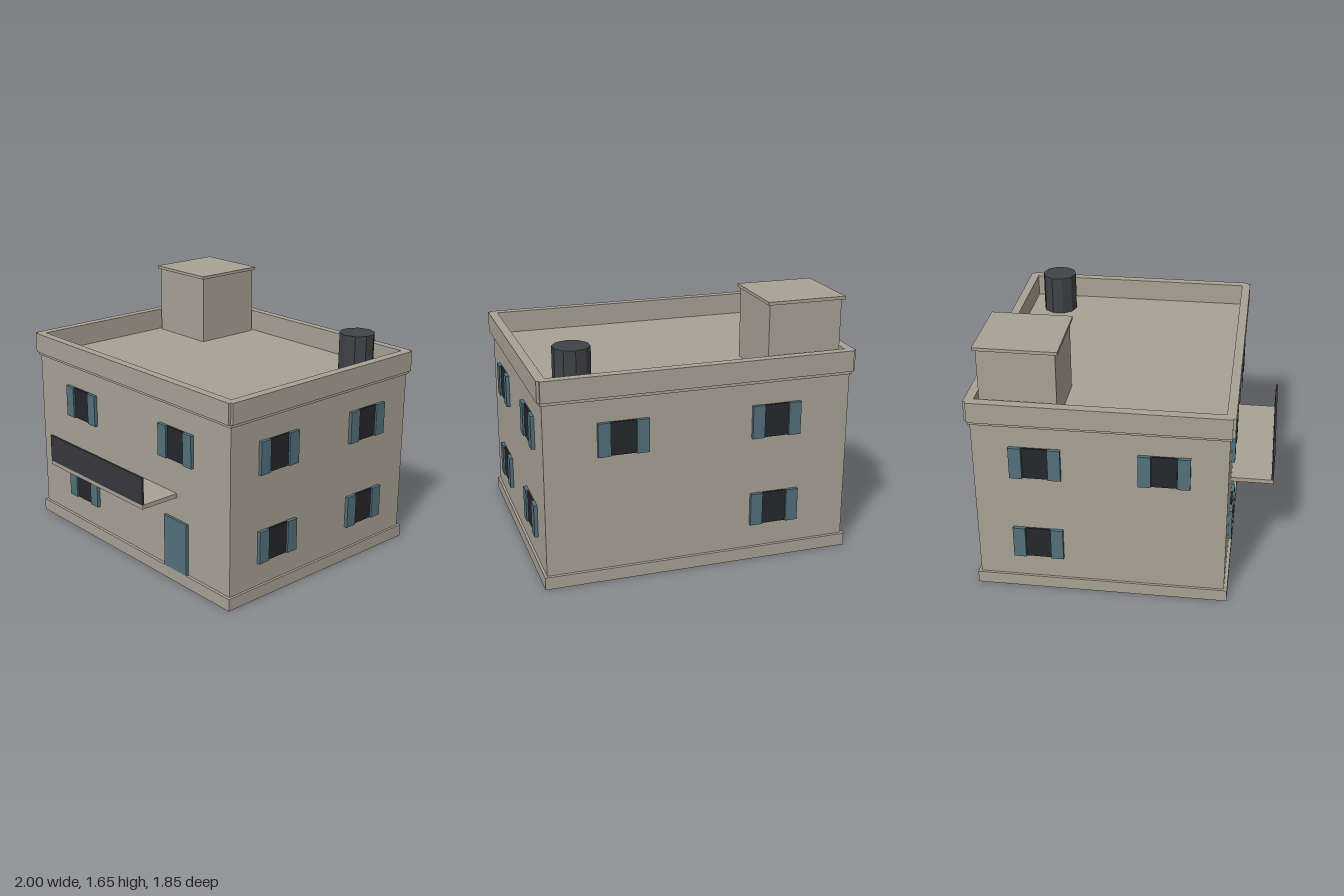
import * as THREE from 'three';

const wall = new THREE.MeshStandardMaterial({ color: 0xa8a294 });
const teal = new THREE.MeshStandardMaterial({ color: 0x52707c });
const dark = new THREE.MeshStandardMaterial({ color: 0x26272b });
const iron = new THREE.MeshStandardMaterial({ color: 0x37363c });
const tankGrey = new THREE.MeshStandardMaterial({ color: 0x404245 });

// Box given by its extents along each axis
function box(parent, name, material, [x0, x1], [y0, y1], [z0, z1]) {
  const mesh = new THREE.Mesh(new THREE.BoxGeometry(x1 - x0, y1 - y0, z1 - z0), material);
  mesh.position.set((x0 + x1) / 2, (y0 + y1) / 2, (z0 + z1) / 2);
  mesh.name = name;
  parent.add(mesh);
  return mesh;
}

// Dark pane with a shutter on each side, lying on the plane z = 0
function shutteredWindow() {
  const g = new THREE.Group();
  g.name = 'window';
  box(g, 'pane', dark, [-0.078, 0.078], [-0.105, 0.105], [-0.01, 0.012]);
  for (const s of [-1, 1]) {
    const edges = [s * 0.08, s * 0.158].sort((a, b) => a - b);
    box(g, 'shutter', teal, edges, [-0.106, 0.106], [-0.005, 0.023]);
  }
  return g;
}

export function createModel() {
  const house = new THREE.Group();
  house.name = 'house';
  const midZ = -0.12;
  const around = (half) => [midZ - half, midZ + half];

  // Main volume
  box(house, 'plinth', wall, [-0.988, 0.988], [0, 0.08], around(0.796));
  box(house, 'walls', wall, [-0.972, 0.972], [0.08, 1.17], around(0.776));
  box(house, 'roofDeck', wall, [-0.95, 0.95], [1.16, 1.178], around(0.76));

  // Cornice and parapet: four overlapping strips each, leaving small corner notches
  function ring(name, y, outX, outZ, inX, inZ, notch) {
    const g = new THREE.Group();
    g.name = name;
    for (const s of [-1, 1]) {
      const xs = [s * inX, s * outX].sort((a, b) => a - b);
      const zs = [midZ + s * inZ, midZ + s * outZ].sort((a, b) => a - b);
      box(g, name + 'Side', wall, xs, y, around(outZ - notch));
      box(g, name + 'Face', wall, [notch - outX, outX - notch], y, zs);
    }
    house.add(g);
  }
  ring('cornice', [1.168, 1.19], 0.983, 0.787, 0.942, 0.748, 0);
  ring('parapet', [1.19, 1.323], 1.0, 0.805, 0.942, 0.748, 0.017);

  // Windows: wall angle, wall position, and [offset along the wall, height]
  const low = 0.34, high = 0.922;
  const sides = [
    { turn: 0, at: [0, 0.656], spots: [[-0.488, high], [0.488, high], [-0.488, low]] },
    { turn: Math.PI, at: [0, -0.896], spots: [[-0.488, high], [0.488, high], [0.488, low]] },
    { turn: Math.PI / 2, at: [0.972, midZ],
      spots: [[-0.392, high], [0.392, high], [-0.392, low], [0.392, low]] },
    { turn: -Math.PI / 2, at: [-0.972, midZ],
      spots: [[-0.392, high], [0.392, high], [-0.392, low]] },
  ];
  for (const { turn, at, spots } of sides) {
    const side = new THREE.Group();
    side.name = 'wallWindows';
    side.position.set(at[0], 0, at[1]);
    side.rotation.y = turn;
    for (const [u, y] of spots) {
      const w = shutteredWindow();
      w.position.set(u, y, 0);
      side.add(w);
    }
    house.add(side);
  }

  // Front door and balcony
  box(house, 'door', teal, [0.38, 0.592], [0.078, 0.43], [0.64, 0.676]);
  box(house, 'balconySlab', wall, [-0.485, 0.485], [0.572, 0.6], [0.64, 0.926]);
  box(house, 'balconyRailing', iron, [-0.485, 0.485], [0.602, 0.778], [0.913, 0.926]);

  // Stair house on the roof
  box(house, 'stairHouse', wall, [-0.918, -0.446], [1.17, 1.635], [-0.843, -0.373]);
  box(house, 'stairHouseCap', wall, [-0.933, -0.431], [1.635, 1.655], [-0.86, -0.356]);

  // Ten-sided water tank
  const tankMaterial = tankGrey.clone();
  tankMaterial.flatShading = true;
  const tank = new THREE.Mesh(new THREE.CylinderGeometry(0.116, 0.116, 0.27, 10), tankMaterial);
  tank.position.set(0.735, 1.305, -0.666);
  tank.name = 'waterTank';
  house.add(tank);

  return house;
}
